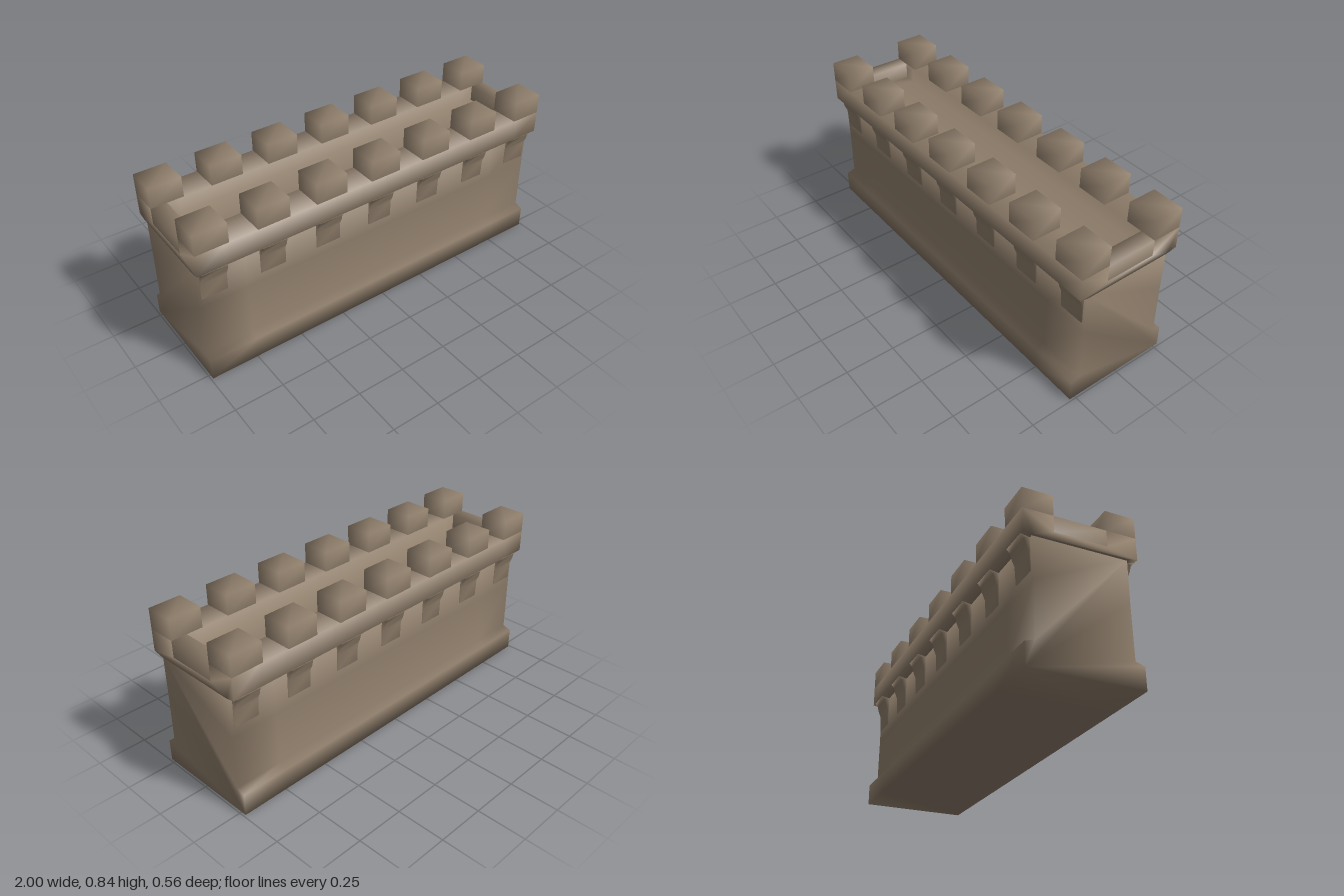
import * as THREE from 'three';
import { mergeVertices } from 'three/addons/utils/BufferGeometryUtils.js';

const stone = new THREE.MeshStandardMaterial({ color: 0x8f7e6b });
stone.name = 'stone';

// Weld corners so the normals blend softly, like worn stone
function soften(geometry) {
  geometry.deleteAttribute('normal');
  geometry.deleteAttribute('uv');
  const welded = mergeVertices(geometry, 1e-4);
  welded.computeVertexNormals();
  return welded;
}

// Extrude a [z, y] outline along x, centred on x = 0
function alongX(points, length, steps) {
  const shape = new THREE.Shape(points.map(([z, y]) => new THREE.Vector2(-z, y)));
  const geometry = new THREE.ExtrudeGeometry(shape, { depth: length, steps, bevelEnabled: false });
  geometry.translate(0, 0, -length / 2);
  geometry.rotateY(Math.PI / 2);
  return soften(geometry);
}

// Complete a half outline (+z side, bottom to top) with its mirror image
const mirrored = (half) => [...half, ...half.map(([z, y]) => [-z, y]).reverse()];

// Box without its bottom face, resting on y
function openBox(w, h, d, y) {
  const geometry = new THREE.BoxGeometry(w, h, d);
  const index = Array.from(geometry.index.array);
  index.splice(18, 6);
  geometry.setIndex(index);
  geometry.translate(0, y + h / 2, 0);
  return soften(geometry);
}

export function createModel() {
  const model = new THREE.Group();
  model.name = 'castleWall';
  const add = (name, geometry, x = 0, z = 0) => {
    const mesh = new THREE.Mesh(geometry, stone);
    mesh.name = name;
    mesh.position.set(x, 0, z);
    model.add(mesh);
    return mesh;
  };

  // Plinth and wall in one profile
  add('wall', alongX(mirrored([
    [0.278, 0], [0.278, 0.112], [0.232, 0.126], [0.23, 0.4], [0.232, 0.617],
  ]), 1.98, 8));

  // Overhanging parapet with a sunken walkway
  add('parapet', alongX(mirrored([
    [0.232, 0.612], [0.279, 0.621], [0.279, 0.733], [0.13, 0.733], [0.13, 0.65],
  ]), 2, 14));

  // Low sills closing the walkway ends
  const sill = openBox(0.08, 0.083, 0.26, 0.65);
  for (const side of [-1, 1]) add('endSill', sill, side * 0.96);

  // Merlons along both edges, with a corbel under each
  const merlon = openBox(0.164, 0.104, 0.149, 0.733);
  const corbel = alongX([
    [0.22, 0.45], [0.236, 0.45], [0.24, 0.54], [0.253, 0.57], [0.26, 0.6], [0.277, 0.619], [0.22, 0.619],
  ], 0.13, 1);
  for (const side of [-1, 1]) {
    for (let i = -3; i <= 3; i++) {
      add('merlon', merlon, i * 0.306, side * 0.2045);
      const bracket = add('corbel', corbel, i * 0.303);
      if (side < 0) bracket.rotation.y = Math.PI;
    }
  }
  return model;
}
